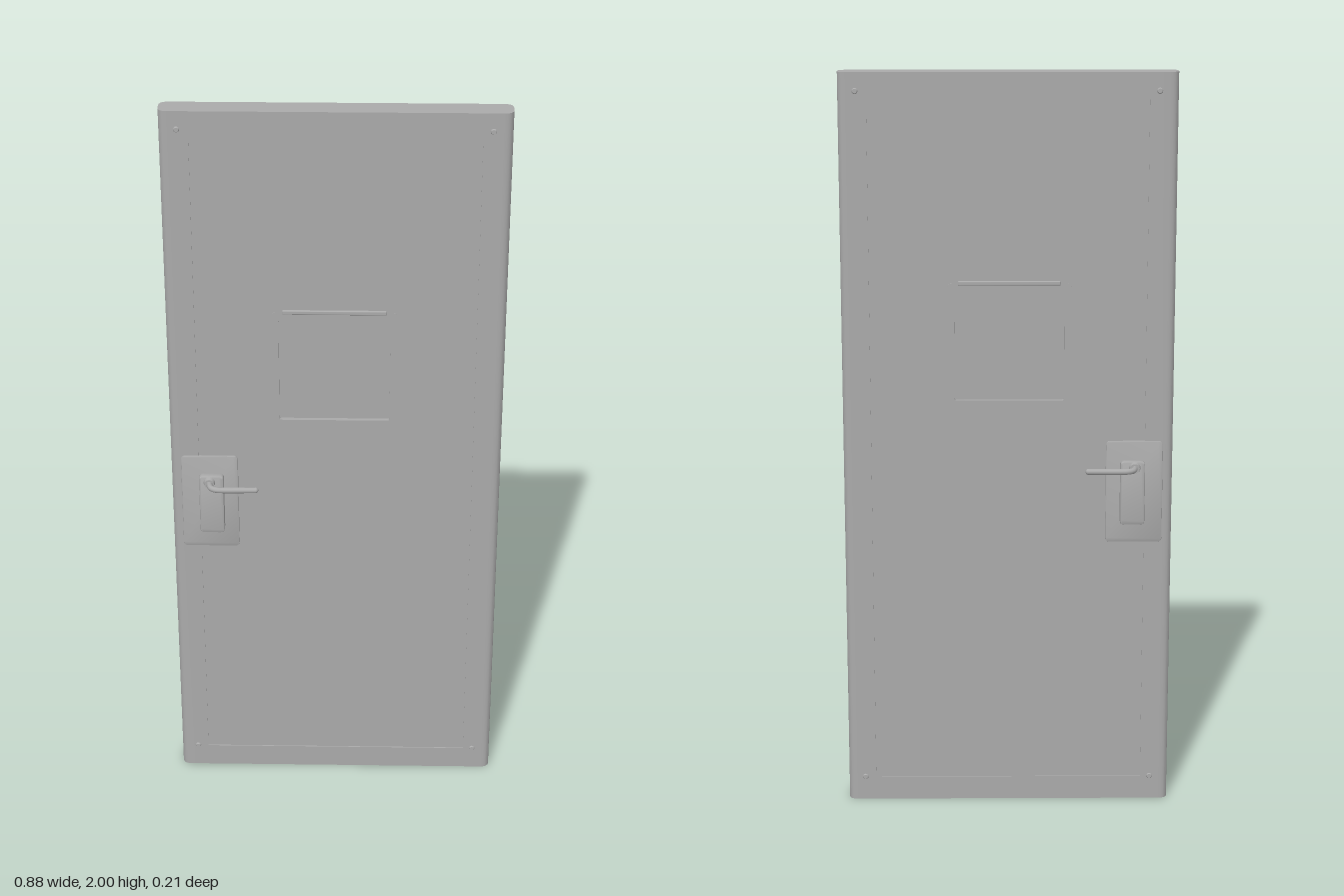
import * as THREE from 'three';
import { RoundedBoxGeometry } from 'three/addons/geometries/RoundedBoxGeometry.js';
import { toCreasedNormals } from 'three/addons/utils/BufferGeometryUtils.js';

const W = 0.44, H = 2, T = 0.032;                  // half width, height, half thickness
const PX = 0.365, PY0 = 0.065, PY1 = 1.945;        // inset panel limits
const WIN = [-0.148, 1.135, 0.142, 1.432];         // window recess x0, y0, x1, y1

function rect(Path, x0, y0, x1, y1, r = 0.006) {
  const s = new Path();
  s.moveTo(x0 + r, y0);
  s.lineTo(x1 - r, y0); s.quadraticCurveTo(x1, y0, x1, y0 + r);
  s.lineTo(x1, y1 - r); s.quadraticCurveTo(x1, y1, x1 - r, y1);
  s.lineTo(x0 + r, y1); s.quadraticCurveTo(x0, y1, x0, y1 - r);
  s.lineTo(x0, y0 + r); s.quadraticCurveTo(x0, y0, x0 + r, y0);
  return s;
}

export function createModel() {
  const steel = new THREE.MeshStandardMaterial({ color: 0xaaaaaa });
  steel.name = 'grey steel';
  const door = new THREE.Group();
  door.name = 'door';

  function add(parent, name, geometry, x = 0, y = 0, z = 0) {
    const m = new THREE.Mesh(geometry, steel);
    m.name = name;
    m.position.set(x, y, z);
    parent.add(m);
    return m;
  }
  const slab = (shape, depth, bevel = 0) => toCreasedNormals(new THREE.ExtrudeGeometry(shape, {
    depth: depth - bevel, bevelEnabled: bevel > 0, bevelSize: bevel, bevelOffset: -bevel,
    bevelThickness: bevel, bevelSegments: 2, curveSegments: 6,
  }), 0.6);

  // Side stiles with rounded outer edges, extruded up the door
  for (const side of [-1, 1]) {
    const r = 0.024, s = new THREE.Shape();
    s.moveTo(PX, -T);
    s.lineTo(W - r, -T); s.quadraticCurveTo(W, -T, W, -T + r);
    s.lineTo(W, T - r); s.quadraticCurveTo(W, T, W - r, T);
    s.lineTo(PX, T);
    s.closePath();
    const g = slab(s, H);
    g.rotateX(-Math.PI / 2);
    if (side < 0) g.rotateY(Math.PI);
    add(door, side < 0 ? 'rightStile' : 'leftStile', g);
  }

  // Top and bottom rails
  add(door, 'bottomRail', new THREE.BoxGeometry(PX * 2, PY0, T * 2), 0, PY0 / 2, 0);
  add(door, 'topRail', new THREE.BoxGeometry(PX * 2, H - PY1, T * 2), 0, (H + PY1) / 2, 0);

  // Inset panel with a window opening and a recessed pane
  const panel = rect(THREE.Shape, -PX, PY0, PX, PY1, 0.001);
  panel.holes.push(rect(THREE.Path, ...WIN));
  add(door, 'panel', slab(panel, 0.058), 0, 0, -0.029);
  add(door, 'windowPane', new THREE.BoxGeometry(0.3, 0.305, 0.038), -0.003, 1.2835, 0);

  // Fittings of one face, modelled facing +z
  function buildFace(name, sign) {
    const face = new THREE.Group();
    face.name = name;
    // Mirrored positions keep the lock on the same edge for both faces
    const mx = (x) => x * sign;

    // Low window surround with a drip lip above
    const x0 = Math.min(mx(-0.166), mx(0.16)), x1 = Math.max(mx(-0.166), mx(0.16));
    const h0 = Math.min(mx(WIN[0]), mx(WIN[2])), h1 = Math.max(mx(WIN[0]), mx(WIN[2]));
    const surround = rect(THREE.Shape, x0, 1.115, x1, 1.45, 0.012);
    surround.holes.push(rect(THREE.Path, h0, WIN[1], h1, WIN[3]));
    add(face, 'windowSurround', slab(surround, 0.002), 0, 0, 0.0285);
    add(face, 'windowLip', new RoundedBoxGeometry(0.27, 0.012, 0.008, 2, 0.003), mx(-0.003), 1.451, 0.03);

    // Corner bolts
    for (const x of [-0.394, 0.39]) for (const y of [0.066, 1.952]) {
      const bolt = new THREE.CylinderGeometry(0.006, 0.009, 0.006, 12);
      bolt.rotateX(Math.PI / 2);
      add(face, 'cornerBolt', bolt, x, y, T + 0.001);
    }

    // Lock plate and escutcheon
    const plate = slab(rect(THREE.Shape, -0.076, -0.14, 0.076, 0.14, 0.012), 0.006, 0.002);
    add(face, 'lockPlate', plate, mx(-0.337), 0.884, 0.03);
    const cover = slab(rect(THREE.Shape, -0.033, -0.087, 0.033, 0.087, 0.012), 0.023, 0.004);
    add(face, 'escutcheon', cover, mx(-0.332), 0.885, 0.034);

    // Bent lever handle
    const path = new THREE.CatmullRomCurve3([
      [-0.337, 0.05], [-0.336, 0.068], [-0.331, 0.086], [-0.318, 0.095], [-0.295, 0.097], [-0.25, 0.096], [-0.212, 0.095],
    ].map(([x, z]) => new THREE.Vector3(mx(x), 0.956, z)));
    add(face, 'lever', new THREE.TubeGeometry(path, 32, 0.008, 10));
    const tip = new THREE.SphereGeometry(0.008, 12, 8);
    add(face, 'leverTip', tip, mx(-0.212), 0.956, 0.095);
    const collar = new THREE.CylinderGeometry(0.013, 0.016, 0.012, 16);
    collar.rotateX(Math.PI / 2);
    add(face, 'leverCollar', collar, mx(-0.337), 0.956, 0.061);

    if (sign < 0) face.rotation.y = Math.PI;
    door.add(face);
  }
  buildFace('frontFittings', 1);
  buildFace('backFittings', -1);

  door.position.z = -0.002;
  const model = new THREE.Group();
  model.name = 'steelDoor';
  model.add(door);
  return model;
}
